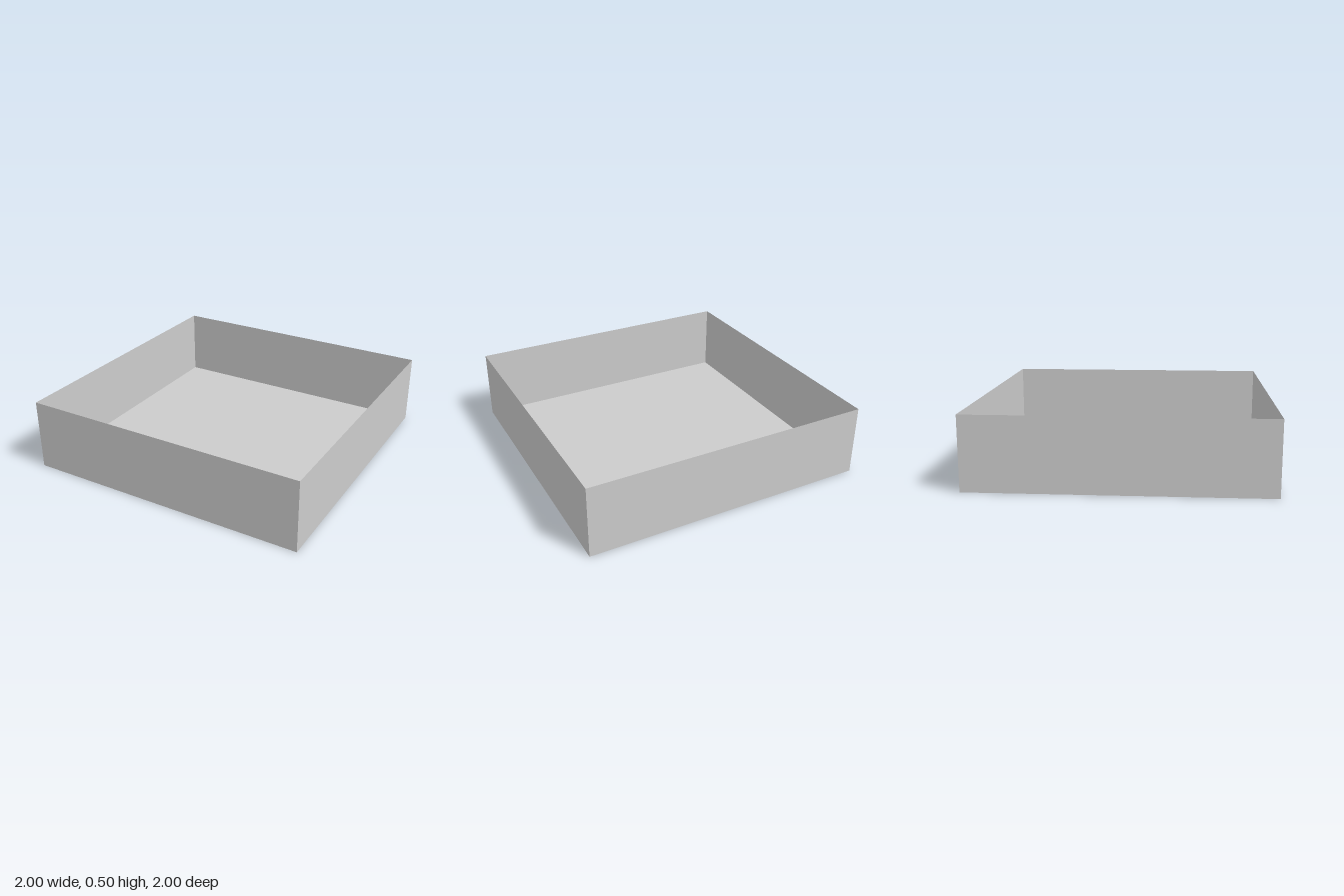
import * as THREE from 'three';

const SIZE = 2;
const HEIGHT = 0.5;

export function createModel() {
  const tray = new THREE.Group();
  tray.name = 'openTray';
  const material = new THREE.MeshStandardMaterial({ color: 0xcccccc, side: THREE.DoubleSide });

  // Floor sheet
  const floor = new THREE.Mesh(new THREE.PlaneGeometry(SIZE, SIZE).rotateX(-Math.PI / 2), material);
  floor.name = 'floor';
  tray.add(floor);

  // Four thin walls facing outward, turned around the vertical axis
  const wallGeometry = new THREE.PlaneGeometry(SIZE, HEIGHT).translate(0, HEIGHT / 2, SIZE / 2);
  ['frontWall', 'leftWall', 'backWall', 'rightWall'].forEach((name, i) => {
    const wall = new THREE.Mesh(wallGeometry, material);
    wall.name = name;
    wall.rotation.y = (i * Math.PI) / 2;
    tray.add(wall);
  });

  return tray;
}
